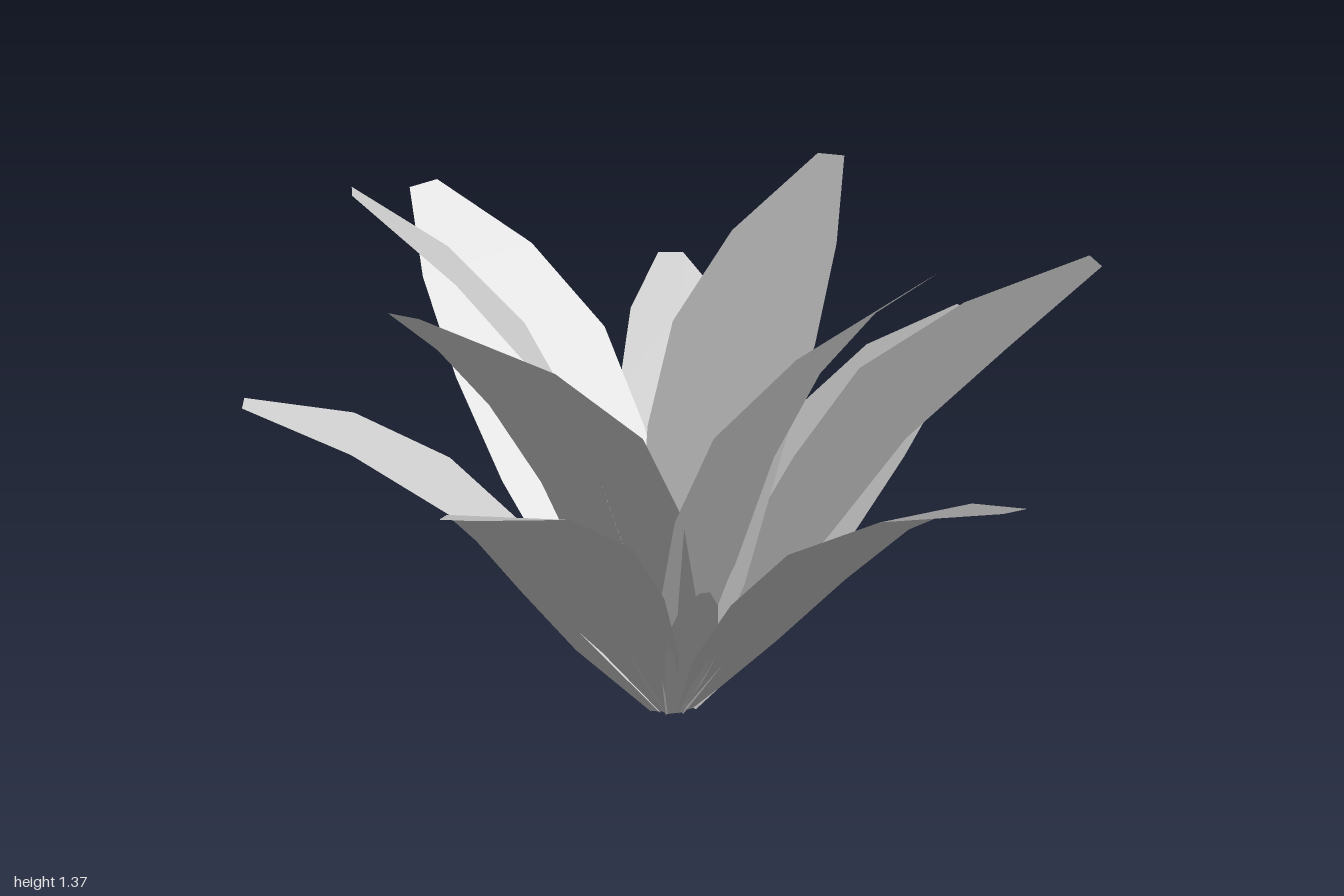
import * as THREE from 'three';

const material = new THREE.MeshStandardMaterial({ color: 0xcccccc, side: THREE.DoubleSide });

// Leaf profiles from base to tip: outward reach, height and sideways drift
// as fractions of the tip, half width in units.
const whorls = {
  inner: {
    reach: [0.015, 0.125, 0.27, 0.45, 0.7, 1],
    rise: [0.005, 0.27, 0.52, 0.71, 0.868, 1],
    drift: [0, 0.2, 0.4, 0.6, 0.8, 1],
    half: [0.045, 0.165, 0.208, 0.22, 0.163, 0.042],
    // tip x, tip height, tip z, heading in degrees (0 = +x, 90 = +z), sideways slope
    leaves: [
      [-0.57, 1.373, 0.46, 135, 0],
      [-0.115, 1.262, -0.905, 270, 0.05],
      [-0.03, 1.285, 0.875, 90, -0.04],
      [0.765, 1.33, 0.18, 0, -0.05],
    ],
  },
  middle: {
    reach: [0.02, 0.16, 0.34, 0.5, 0.74, 1],
    rise: [0.005, 0.26, 0.51, 0.71, 0.87, 1],
    drift: [0.05, 0.25, 0.48, 0.67, 0.83, 1],
    half: [0.04, 0.155, 0.21, 0.217, 0.16, 0.041],
    leaves: [
      [-0.985, 1.195, -0.22, 203, 0.14],
      [0.752, 1.155, -0.708, -45, -0.05],
    ],
  },
  outer: {
    reach: [0.035, 0.185, 0.35, 0.53, 0.755, 1],
    rise: [0.005, 0.26, 0.51, 0.73, 0.9, 1],
    drift: [0.15, 0.45, 0.68, 0.85, 0.95, 1],
    half: [0.03, 0.135, 0.18, 0.187, 0.14, 0.036],
    leaves: [
      [-0.565, 0.94, -0.785, 226, -0.06],
      [0.292, 0.885, -0.965, -81, -0.06],
      [-0.76, 0.88, 0.672, 137, 0],
      [0.158, 0.92, 0.955, 73, -0.1],
      [0.99, 0.872, 0.175, 17, 0.11],
    ],
  },
  // short narrow shoots tucked between the big leaves
  small: {
    reach: [0.1, 0.32, 0.52, 0.68, 0.84, 1],
    rise: [0.01, 0.25, 0.49, 0.7, 0.87, 1],
    drift: [0, 0.2, 0.4, 0.6, 0.8, 1],
    half: [0.02, 0.045, 0.06, 0.06, 0.045, 0.012],
    leaves: [0, 42, 105, 150, 200, 265, 318].map((degrees) => {
      const a = THREE.MathUtils.degToRad(degrees);
      return [0.35 * Math.cos(a), 0.5, 0.35 * Math.sin(a), degrees, 0];
    }),
  },
};

// A flat strip bent outward, widened by its profile, drifting sideways and slightly rolled.
function makeLeaf({ reach, rise, drift, half }, [tipX, tipY, tipZ, degrees, slope]) {
  const angle = THREE.MathUtils.degToRad(degrees);
  const c = Math.cos(angle), s = Math.sin(angle);
  const length = tipX * c + tipZ * s;
  const tipDrift = tipZ * c - tipX * s;
  const rows = reach.length - 1;
  const geometry = new THREE.PlaneGeometry(2, 1, 2, rows);
  const { position, normal } = geometry.attributes;
  // one normal for the whole blade keeps its shading even
  const facing = new THREE.Vector3(-c * tipY, length, -s * tipY).normalize();
  for (let i = 0; i < position.count; i++) {
    const row = Math.round((position.getY(i) + 0.5) * rows);
    const across = position.getX(i) * half[row];
    const out = length * reach[row];
    const side = tipDrift * drift[row] + across;
    const y = Math.max(0, tipY * rise[row] + across * slope);
    position.setXYZ(i, out * c - side * s, y, out * s + side * c);
    normal.setXYZ(i, facing.x, facing.y, facing.z);
  }
  return new THREE.Mesh(geometry, material);
}

export function createModel() {
  const plant = new THREE.Group();
  plant.name = 'plant';
  for (const [name, whorl] of Object.entries(whorls)) {
    const group = new THREE.Group();
    group.name = name + 'Leaves';
    whorl.leaves.forEach((spec, i) => {
      const leaf = makeLeaf(whorl, spec);
      leaf.name = name + 'Leaf' + (i + 1);
      group.add(leaf);
    });
    plant.add(group);
  }
  return plant;
}
